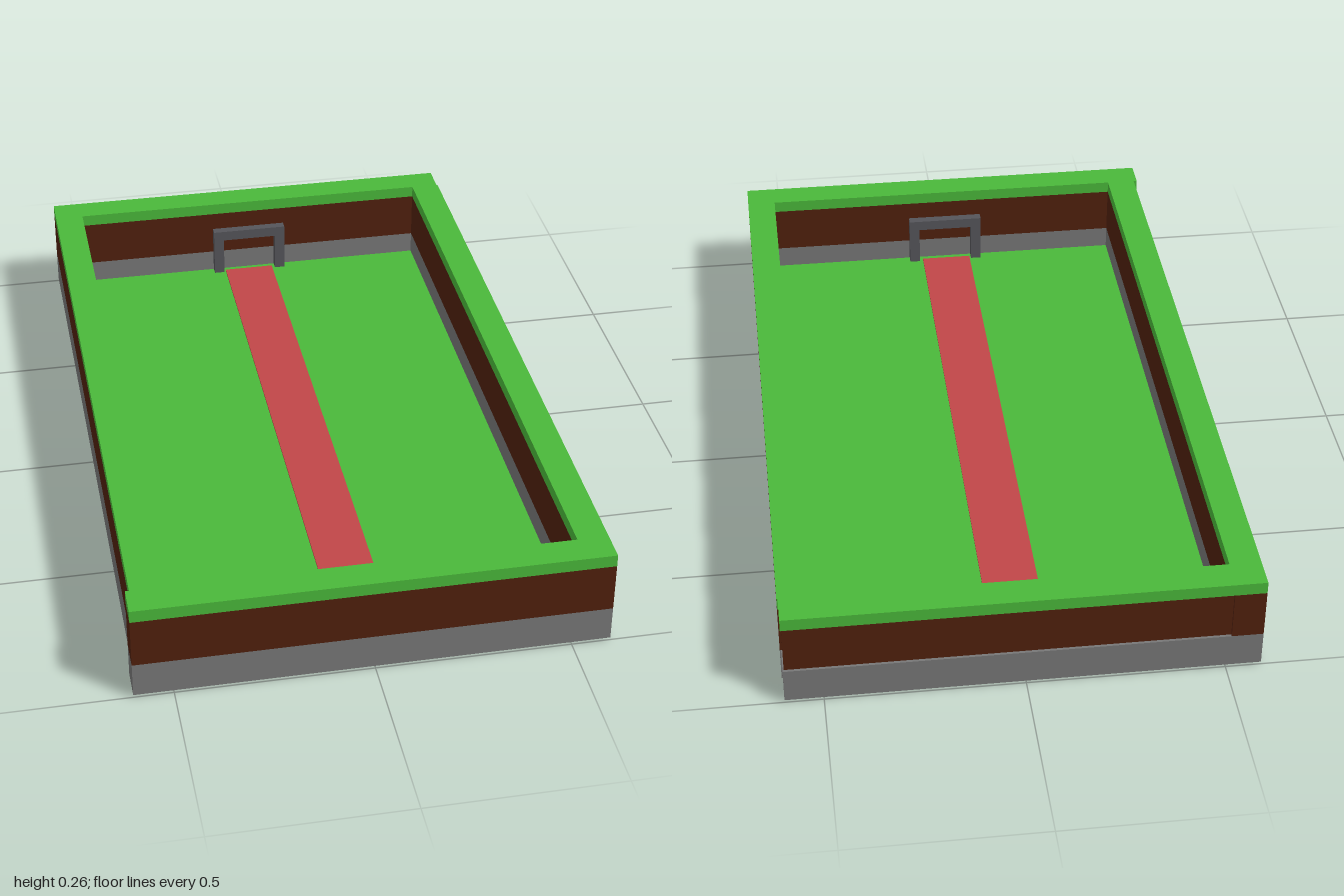
import * as THREE from 'three';

const paint = (name, hex) => {
  const m = new THREE.MeshStandardMaterial({ color: hex });
  m.name = name;
  return m;
};

export function createModel() {
  const model = new THREE.Group();
  model.name = 'walledField';
  const grass = paint('grass green', 0x4ab83a);
  const wood = paint('dark brown', 0x50200d);
  const stone = paint('stone grey', 0x777777);
  const carpet = paint('red', 0xc04648);
  const iron = paint('dark grey', 0x55555a);

  // Box given by its limits on each axis
  const slab = (parent, name, material, [x0, x1], [y0, y1], [z0, z1]) => {
    const mesh = new THREE.Mesh(new THREE.BoxGeometry(x1 - x0, y1 - y0, z1 - z0), material);
    mesh.position.set((x0 + x1) / 2, (y0 + y1) / 2, (z0 + z1) / 2);
    mesh.name = name;
    parent.add(mesh);
  };

  // Floor and the strip running along it
  slab(model, 'floor', grass, [-0.515, 0.52], [0, 0.037], [-0.92, 0.92]);
  slab(model, 'centreStrip', carpet, [-0.075, 0.07], [0.03, 0.042], [-0.9, 0.9]);

  // Four walls: stone footing with a brown underside, brown middle, green cap
  const footing = [stone, stone, stone, wood, stone, stone];
  const walls = [
    ['left', [0.52, 0.6], [-0.92, 1]],
    ['right', [-0.59, -0.51], [-1, 0.92]],
    ['front', [-0.6, 0.52], [0.92, 1]],
    ['back', [-0.51, 0.597], [-1, -0.92]],
  ];
  for (const [side, x, z] of walls) {
    const wall = new THREE.Group();
    wall.name = side + 'Wall';
    slab(wall, 'footing', footing, x, [0.007, 0.1], z);
    const back = side === 'back';
    slab(wall, 'planks', wood, back ? [x[0], 0.594] : x, [0.1, 0.232], back ? [-0.993, z[1]] : z);
    slab(wall, 'cap', grass, x, [0.232, 0.265], z);
    model.add(wall);
  }

  // Upright frame at each end of the strip
  for (const s of [-1, 1]) {
    const frame = new THREE.Group();
    frame.name = s > 0 ? 'frontFrame' : 'backFrame';
    const z = s > 0 ? [0.895, 0.92] : [-0.92, -0.895];
    slab(frame, 'leftPost', iron, [0.08, 0.11], [0.037, 0.15], z);
    slab(frame, 'rightPost', iron, [-0.11, -0.08], [0.037, 0.15], z);
    slab(frame, 'crossbar', iron, [-0.11, 0.11], [0.15, 0.18], z);
    model.add(frame);
  }
  return model;
}
